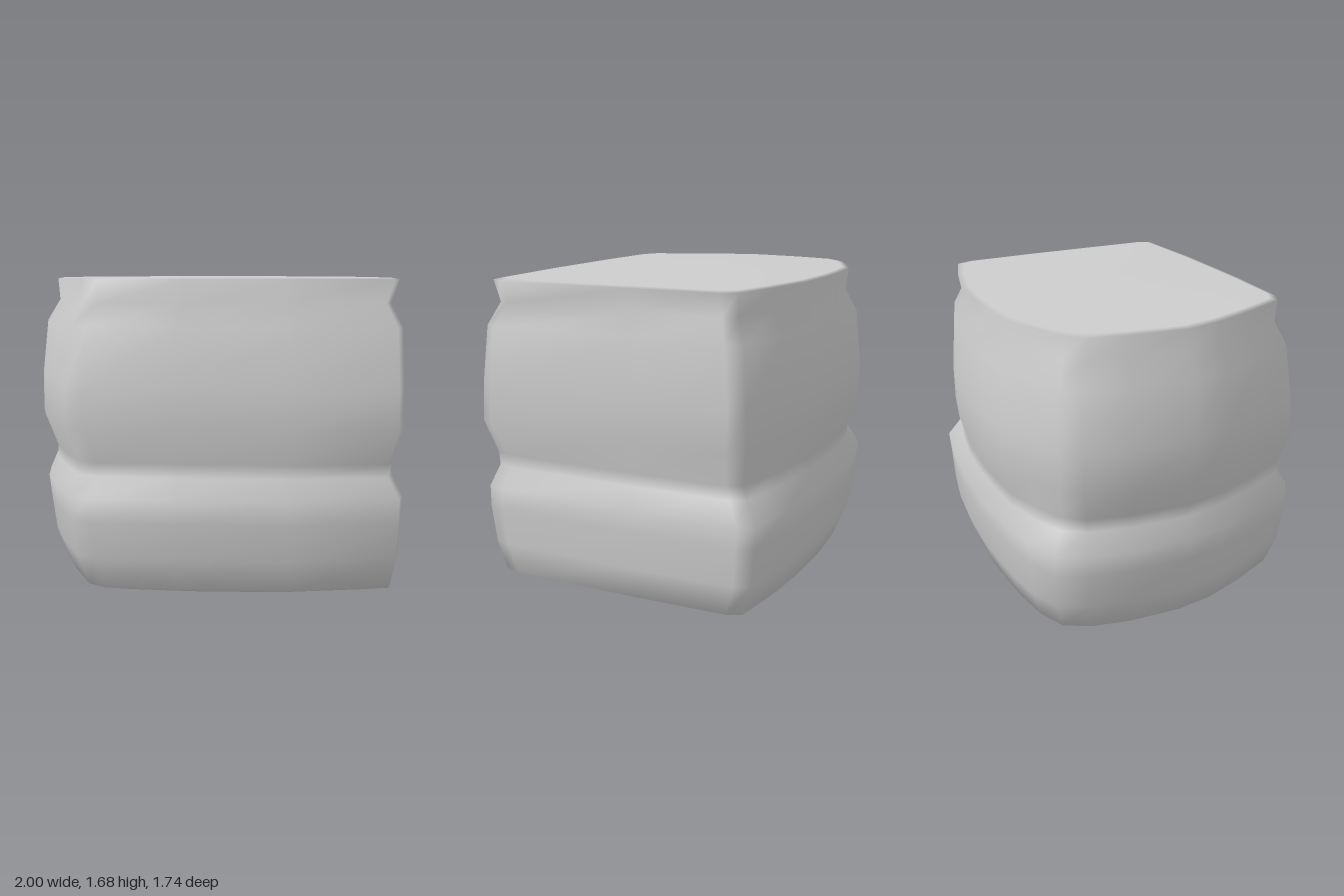
import * as THREE from 'three';

// Plan outlines as [x, z], running left, back, right, front
const upperPlan = [
  [-1, -0.03], [-0.96, -0.36], [-0.9, -0.6], [-0.81, -0.69], [-0.64, -0.77], [-0.43, -0.85],
  [-0.2, -0.865], [0, -0.865], [0.32, -0.84], [0.62, -0.77], [0.9, -0.68], [0.945, -0.6],
  [0.97, -0.1], [0.985, 0.74], [0.95, 0.81], [0.4, 0.82], [-0.2, 0.8], [-0.65, 0.765],
  [-0.75, 0.71], [-0.86, 0.45], [-0.95, 0.2],
];
const lowerPlan = [
  [-0.97, -0.03], [-0.95, -0.35], [-0.9, -0.58], [-0.82, -0.73], [-0.65, -0.8], [-0.43, -0.835],
  [-0.2, -0.85], [0, -0.855], [0.32, -0.84], [0.62, -0.805], [0.92, -0.745], [0.96, -0.66],
  [0.985, -0.1], [1, 0.7], [0.97, 0.8], [0.4, 0.87], [-0.2, 0.855], [-0.64, 0.81],
  [-0.74, 0.74], [-0.86, 0.45], [-0.94, 0.2],
];

// Levels: y, left x, right x, back z, front z, blend from lower to upper plan
const levels = [
  [0.006, -0.7, 0.84, -0.63, 0.66, 0],
  [0.06, -0.865, 0.965, -0.77, 0.8, 0],
  [0.23, -0.93, 0.99, -0.83, 0.845, 0],
  [0.43, -0.955, 0.995, -0.845, 0.87, 0],
  [0.55, -0.97, 1, -0.855, 0.865, 0],
  [0.66, -0.92, 0.945, -0.81, 0.805, 0.4],
  [0.73, -0.925, 0.94, -0.81, 0.8, 0.7],
  [0.91, -1, 0.985, -0.865, 0.84, 1],
  [1.12, -1, 0.985, -0.865, 0.825, 1],
  [1.43, -0.965, 0.975, -0.835, 0.785, 1],
  [1.55, -0.89, 0.92, -0.775, 0.73, 1],
  [1.67, -0.9, 0.96, -0.79, 0.74, 1],
  [1.678, -0.86, 0.92, -0.755, 0.705, 1],
];

// Fit a plan outline into the unit square
function unitPlan(plan) {
  const range = k => [Math.min(...plan.map(p => p[k])), Math.max(...plan.map(p => p[k]))];
  const [x0, x1] = range(0), [z0, z1] = range(1);
  return plan.map(([x, z]) => [(x - x0) / (x1 - x0), (z - z0) / (z1 - z0)]);
}

function loftBody() {
  const low = unitPlan(lowerPlan), high = unitPlan(upperPlan);
  const n = low.length, positions = [], indices = [];
  for (const [y, left, right, back, front, t] of levels) {
    for (let i = 0; i < n; i++) {
      const u = THREE.MathUtils.lerp(low[i][0], high[i][0], t);
      const v = THREE.MathUtils.lerp(low[i][1], high[i][1], t);
      positions.push(left + u * (right - left), y, back + v * (front - back));
    }
  }
  const bottom = levels.length * n, top = bottom + 1, lastRing = bottom - n;
  positions.push(0.05, 0, 0, 0.02, 1.685, -0.02);
  for (let i = 0; i < n; i++) {
    const j = (i + 1) % n;
    // Side walls
    for (let r = 0; r < lastRing; r += n) {
      indices.push(r + i, r + n + i, r + j, r + j, r + n + i, r + n + j);
    }
    // Base and slightly crowned top
    indices.push(bottom, i, j, lastRing + i, top, lastRing + j);
  }
  const geometry = new THREE.BufferGeometry();
  geometry.setAttribute('position', new THREE.Float32BufferAttribute(positions, 3));
  geometry.setIndex(indices);
  geometry.computeVertexNormals();
  return geometry;
}

export function createModel() {
  const group = new THREE.Group();
  group.name = 'softBlock';
  const grey = new THREE.MeshStandardMaterial({ color: 0xcccccc });
  grey.name = 'light grey';
  const body = new THREE.Mesh(loftBody(), grey);
  body.name = 'body';
  group.add(body);
  return group;
}
